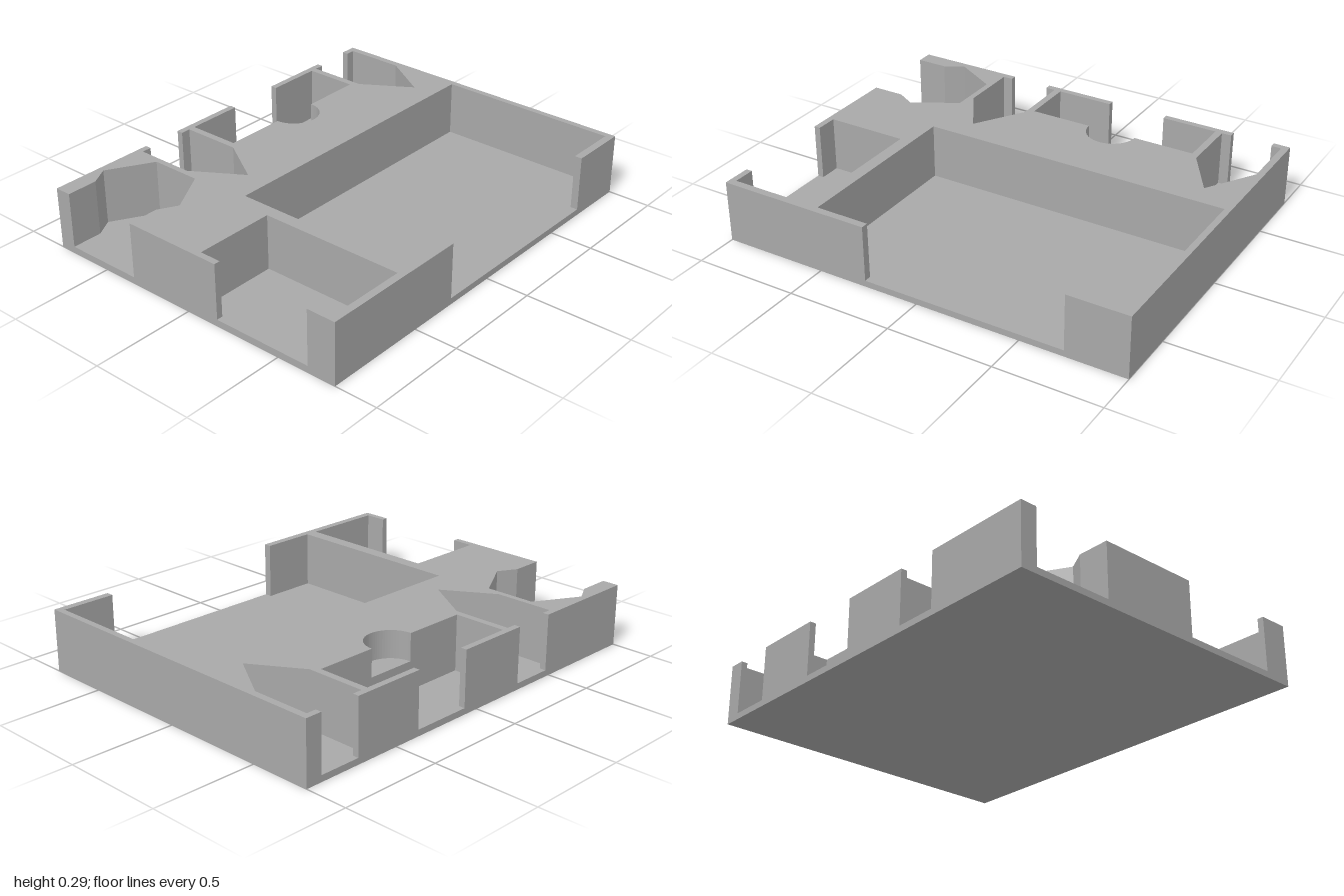
import * as THREE from 'three';

const W = 1, D = 0.795;              // half width and half depth
const FLOOR = 0.03, LEDGE = 0.165, TOP = 0.295;

// Plan points are [x, z]; each pocket runs from one side of its opening to the other.
const trayPocket = [[-0.26, D], [-0.26, 0.76], [-0.52, 0.76], [-0.52, -0.125],
  [0.97, -0.125], [0.97, 0.76], [0.71, 0.76], [0.71, D]];

const pointedPocket = (cx) => [[0.1, -D], [0.1, -0.765], [0.147, -0.765], [0.147, -0.48], [0, -0.245],
  [-0.147, -0.48], [-0.147, -0.765], [-0.1, -0.765], [-0.1, -D]].map(([x, z]) => [cx + x, z]);

const hexPocket = [[-W, -0.715], [-0.85, -0.715], [-0.76, -0.765], [-0.55, -0.645],
  [-0.55, -0.4], [-0.76, -0.28], [-0.85, -0.33], [-W, -0.33]];

const sidePocket = [[-W, 0.165], [-0.97, 0.165], [-0.97, 0.06], [-0.58, 0.06],
  [-0.58, 0.76], [-0.97, 0.76], [-0.97, 0.655], [-W, 0.655]];

// Half-round finger notch on the inner edge of the card pocket
function fingerNotch() {
  const pts = [];
  for (let i = 0; i <= 32; i++) {
    const t = Math.PI * i / 32;
    pts.push([0.225 + 0.12 * Math.cos(t), -0.51 + 0.12 * Math.sin(t)]);
  }
  return pts;
}

const cardPocket = (notch) => [[0.37, -D], [0.37, -0.765], [0.64, -0.765], [0.64, -0.51],
  ...notch, [-0.195, -0.51], [-0.195, -0.765], [0.08, -0.765], [0.08, -D]];

// Outline of the walls, walked once around the tray
const wallOutline = (notch) => [[-W, D], ...trayPocket, [W, D], [W, -D],
  ...pointedPocket(0.82), ...cardPocket(notch), ...pointedPocket(-0.375),
  [-W, -D], ...hexPocket, ...sidePocket];

export function createModel() {
  const group = new THREE.Group();
  group.name = 'organizerTray';
  const grey = new THREE.MeshStandardMaterial({ color: 0xa8a8a8 });
  grey.name = 'grey';

  const addLayer = (name, outline, y0, y1) => {
    const shape = new THREE.Shape(outline.map(([x, z]) => new THREE.Vector2(x, -z)));
    const geo = new THREE.ExtrudeGeometry(shape, { depth: y1 - y0, bevelEnabled: false });
    geo.rotateX(-Math.PI / 2).translate(0, y0, 0);
    const mesh = new THREE.Mesh(geo, grey);
    mesh.name = name;
    group.add(mesh);
  };

  addLayer('floor', [[-W, D], [W, D], [W, -D], [-W, -D]], 0, FLOOR);
  addLayer('lowerWalls', wallOutline([]), FLOOR, LEDGE);
  addLayer('upperWalls', wallOutline(fingerNotch()), LEDGE, TOP);
  return group;
}
